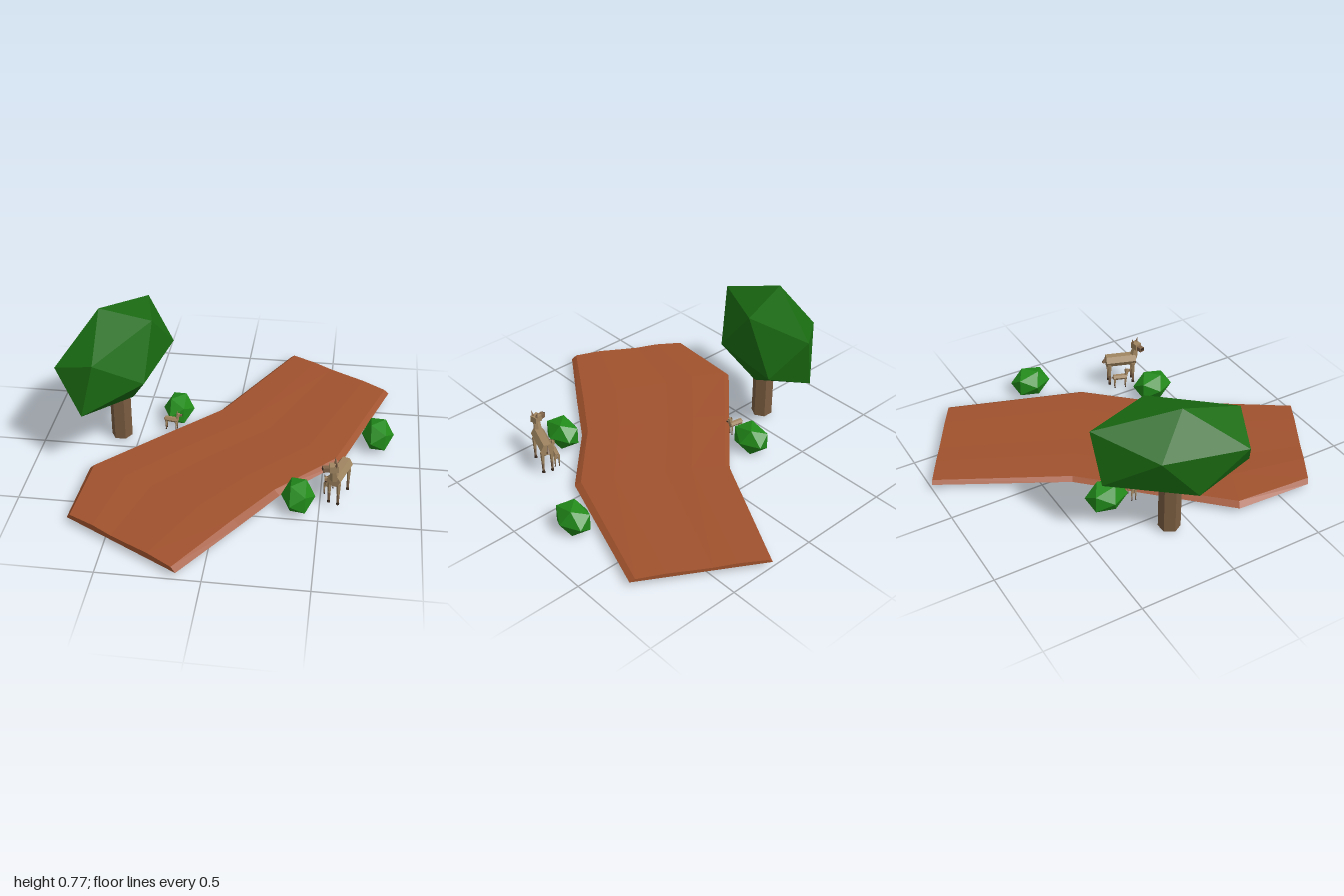
import * as THREE from 'three';
import { ConvexGeometry } from 'three/addons/geometries/ConvexGeometry.js';

const mat = (color) => new THREE.MeshStandardMaterial({ color, flatShading: true, side: THREE.DoubleSide });
const earth = mat(0xa0522d), bark = mat(0x7a5c40), leaf = mat(0x1a6b12), bushLeaf = mat(0x228b1a);
const fur = mat(0xa08560), darkFur = mat(0x80644a), nose = mat(0x3a2a1e);

function add(parent, name, geometry, material, x = 0, y = 0, z = 0) {
  const m = new THREE.Mesh(geometry, material);
  m.name = name;
  m.position.set(x, y, z);
  parent.add(m);
  return m;
}

// Bent dirt path: one bevelled, slightly rutted section swept along two edges
function pathGeometry() {
  const left = [[0.25, -1], [-0.09, -0.37], [-0.39, -0.06], [-0.69, 0.25], [-0.71, 0.66]];
  const right = [[0.83, -0.66], [0.59, 0.05], [0.3, 0.36], [0.13, 0.62], [-0.12, 0.99]];
  const section = [[0, 0], [0.03, 0.8], [0.25, 1.1], [0.42, 0.85], [0.58, 0.95], [0.75, 1.1], [0.96, 0.75], [1, 0]];
  const heights = [0.02, 0.025, 0.03, 0.033, 0.03];
  const n = section.length, rows = left.length, pos = [], idx = [];
  for (let i = 0; i < rows; i++) {
    for (const [u, h] of section) {
      pos.push(
        THREE.MathUtils.lerp(left[i][0], right[i][0], u),
        0.03 + h * heights[i],
        THREE.MathUtils.lerp(left[i][1], right[i][1], u));
    }
  }
  for (let i = 0; i < rows - 1; i++) {
    for (let j = 0; j < n; j++) {
      const k = (j + 1) % n, a = i * n + j, b = i * n + k;
      idx.push(a, a + n, b, b, a + n, b + n);
    }
  }
  const end = (rows - 1) * n;
  for (let j = 1; j < n - 1; j++) idx.push(0, j, j + 1, end, end + j + 1, end + j);
  const g = new THREE.BufferGeometry();
  g.setAttribute('position', new THREE.Float32BufferAttribute(pos, 3));
  g.setIndex(idx);
  const flat = g.toNonIndexed();
  flat.computeVertexNormals();
  return flat;
}

// Twenty-sided crown, stretched in depth, from six vertices and their opposites
function crownGeometry() {
  const axes = [
    [-0.078, 0.26, 0], [0.187, 0.185, -0.04], [0.257, -0.05, -0.26],
    [-0.04, 0.125, 0.35], [-0.105, -0.155, 0.375], [0.175, -0.07, 0.165],
  ].map((p) => new THREE.Vector3(...p));
  return new ConvexGeometry([...axes, ...axes.map((p) => p.clone().negate())]);
}

// Hoofed animal facing +z, feet at y = 0, head turned about the neck
function animal(name, headTurn) {
  const g = new THREE.Group();
  g.name = name;
  const body = new THREE.CylinderGeometry(0.036, 0.036, 0.17, 6);
  body.rotateX(Math.PI / 2);
  body.rotateZ(Math.PI / 6);
  add(g, 'body', body, fur, 0, 0.148, 0);
  for (const x of [-0.024, 0.024]) {
    for (const z of [-0.068, 0.068]) {
      add(g, 'upperLeg', new THREE.CylinderGeometry(0.012, 0.008, 0.07, 5), fur, x, 0.095, z);
      add(g, 'lowerLeg', new THREE.CylinderGeometry(0.008, 0.006, 0.055, 5), darkFur, x, 0.035, z);
      add(g, 'hoof', new THREE.CylinderGeometry(0.007, 0.009, 0.014, 5), nose, x, 0.007, z);
    }
  }
  const neck = add(g, 'neck', new THREE.CylinderGeometry(0.016, 0.024, 0.085, 6), fur, 0, 0.195, 0.082);
  neck.rotation.x = 0.2;
  const tail = add(g, 'tail', new THREE.ConeGeometry(0.01, 0.045, 5), darkFur, 0, 0.158, -0.092);
  tail.rotation.x = 0.35;

  const head = new THREE.Group();
  head.name = 'head';
  head.position.set(0, 0.23, 0.09);
  head.rotation.y = headTurn;
  g.add(head);
  add(head, 'skull', new THREE.BoxGeometry(0.038, 0.036, 0.044), fur);
  add(head, 'snout', new THREE.BoxGeometry(0.026, 0.024, 0.034), darkFur, 0, -0.005, 0.036);
  add(head, 'nose', new THREE.BoxGeometry(0.016, 0.012, 0.006), nose, 0, 0, 0.055);
  for (const s of [-1, 1]) {
    const ear = add(head, 'ear', new THREE.ConeGeometry(0.009, 0.034, 4), darkFur, s * 0.017, 0.031, -0.01);
    ear.rotation.z = -s * 0.25;
  }
  return g;
}

export function createModel() {
  const model = new THREE.Group();
  model.name = 'woodlandPath';
  add(model, 'dirtPath', pathGeometry(), earth);

  // Tree
  const tree = new THREE.Group();
  tree.name = 'tree';
  tree.position.set(-0.605, 0, -0.108);
  model.add(tree);
  const trunk = new THREE.CylinderGeometry(0.056, 0.056, 0.36, 6);
  trunk.rotateY(Math.PI / 2);
  add(tree, 'trunk', trunk, bark, 0.008, 0.19, 0.003);
  add(tree, 'crown', crownGeometry(), leaf, 0, 0.51, 0);

  // Bushes
  const bush = new THREE.IcosahedronGeometry(0.088, 0);
  bush.rotateY(0.58);
  bush.scale(0.96, 1, 1.3);
  for (const [x, z] of [[0.395, 0.402], [0.775, -0.18], [-0.315, -0.298]]) {
    add(model, 'bush', bush, bushLeaf, x, 0.075, z);
  }

  // Grown animal and two young
  const herd = [
    ['grownAnimal', 0.59, 0.02, 0.307, -0.33, -1.04, 1],
    ['youngAnimal', 0.54, 0.02, 0.275, -0.35, 0.3, 0.45],
    ['youngAnimal', -0.335, 0.025, -0.163, 1.4, 0.3, 0.42],
  ];
  for (const [name, x, y, z, yaw, turn, size] of herd) {
    const a = animal(name, turn);
    a.position.set(x, y, z);
    a.rotation.y = yaw;
    a.scale.setScalar(size);
    model.add(a);
  }
  return model;
}
